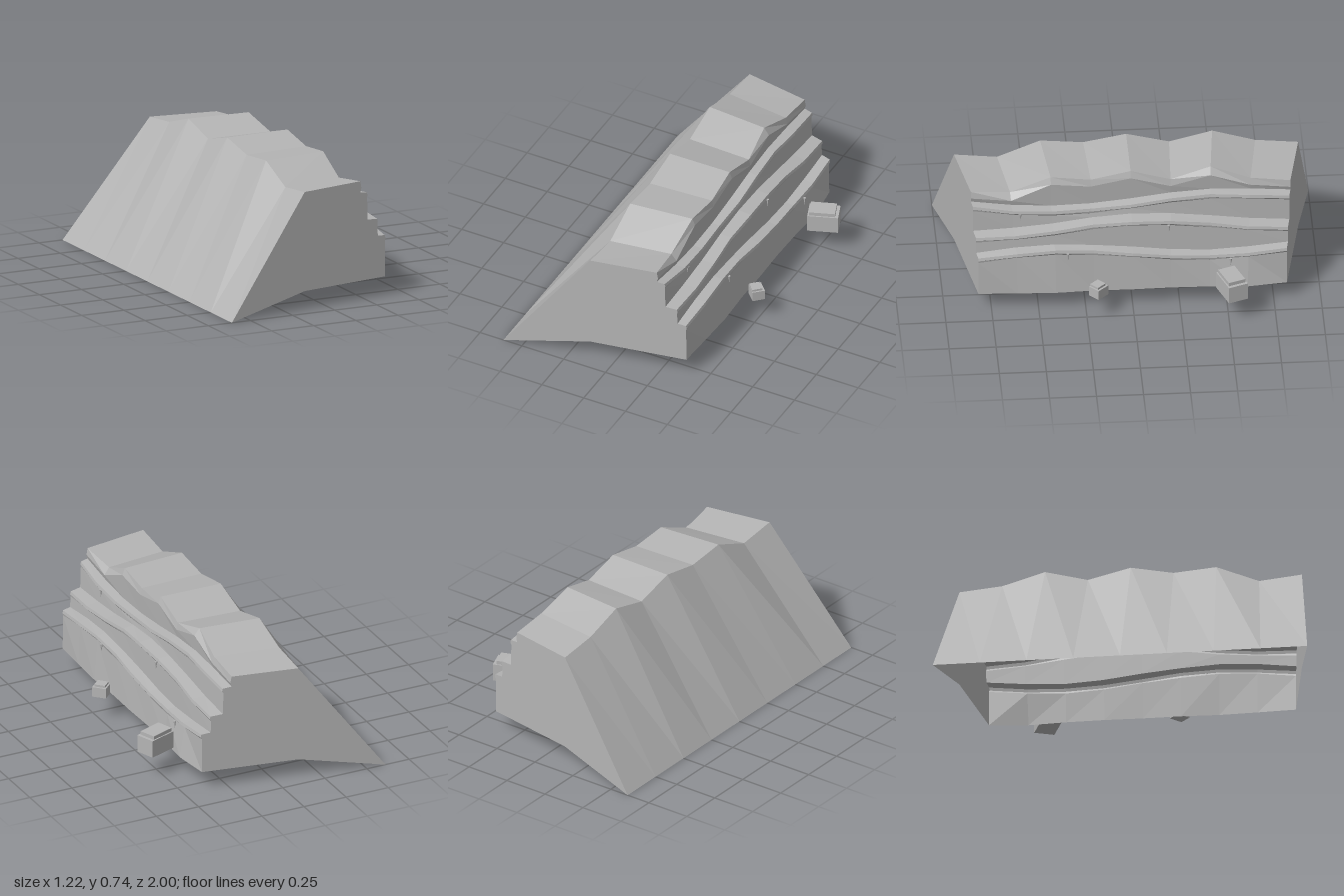
import * as THREE from 'three';

// Heights and depths at nine stations running from z = -1 to z = +1
const crest = [0.64, 0.663, 0.733, 0.674, 0.733, 0.69, 0.711, 0.617, 0.642];
const rimX = [0.228, 0.225, 0.206, 0.226, 0.222, 0.226, 0.22, 0.206, 0.228];
const baseX = [0.39, 0.415, 0.402, 0.398, 0.402, 0.4, 0.408, 0.4, 0.39];
const ledges = [
  { inner: 0.228, outer: 0.276, y: [0.578, 0.594, 0.602, 0.588, 0.56, 0.538, 0.532, 0.547, 0.578] },
  { inner: 0.276, outer: 0.343, y: [0.422, 0.438, 0.465, 0.488, 0.495, 0.48, 0.45, 0.432, 0.422] },
  { inner: 0.342, outer: 0.393, y: [0.322, 0.302, 0.29, 0.302, 0.328, 0.348, 0.36, 0.35, 0.325] },
];
const STATIONS = 9;

// Cross-section from the back foot, over the crest and down the stepped face
function section(i) {
  const wave = 0.006 * Math.sin(i * 2.1);
  const pts = [[-0.61, 0], [-0.135, crest[i]], [rimX[i], crest[i] + 0.003], [0.235, crest[i] - 0.035]];
  for (const { inner, outer, y } of ledges) {
    const lip = outer + wave;
    pts.push([inner, y[i] + 0.006], [lip, y[i]], [lip + 0.004, y[i] - 0.016], [outer - 0.004, y[i] - 0.028]);
  }
  pts.push([baseX[i], 0.1]);
  return pts;
}

// The hill narrows towards its steep face
const toPoint = ([x, y], i) => [x, y, (-1 + i / 4) * (1 - 0.18 * (x + 0.61))];

function buildSurface(positions, index, material, name) {
  const indexed = new THREE.BufferGeometry();
  indexed.setAttribute('position', new THREE.Float32BufferAttribute(positions, 3));
  indexed.setIndex(index);
  const geometry = indexed.toNonIndexed();
  geometry.computeVertexNormals();
  const mesh = new THREE.Mesh(geometry, material);
  mesh.name = name;
  return mesh;
}

// Back slope, top and ledged wall, open underneath
function buildShell(material) {
  const positions = [], index = [];
  const rows = section(0).length;
  for (let i = 0; i < STATIONS; i++) {
    for (const p of section(i)) positions.push(...toPoint(p, i));
  }
  for (let i = 0; i < STATIONS - 1; i++) {
    for (let r = 0; r < rows - 1; r++) {
      const a = i * rows + r, b = a + rows;
      index.push(a, b, a + 1, b, b + 1, a + 1);
    }
  }
  return buildSurface(positions, index, material, 'cliffShell');
}

// Flat end wall following the same cross-section
function buildEnd(i, material, name) {
  const outline = [...section(i), [-0.135, 0.1]];
  const contour = outline.map(([x, y]) => new THREE.Vector2(x, y));
  const faces = THREE.ShapeUtils.triangulateShape(contour, []);
  const index = [];
  for (const [a, b, c] of faces) {
    const area = contour[b].clone().sub(contour[a]).cross(contour[c].clone().sub(contour[a]));
    const facesFront = area > 0;
    if (facesFront === (i > 0)) index.push(a, b, c);
    else index.push(a, c, b);
  }
  return buildSurface(outline.flatMap((p) => toPoint(p, i)), index, material, name);
}

// Fallen block with a thin slab on top
function buildBoulder(x, z, turn, [w, h, d], [cw, ch, cd], material, name) {
  const group = new THREE.Group();
  group.name = name;
  const block = new THREE.Mesh(new THREE.BoxGeometry(w, h, d), material);
  block.name = 'block';
  block.position.y = h / 2;
  const slab = new THREE.Mesh(new THREE.BoxGeometry(cw, ch, cd), material);
  slab.name = 'slab';
  slab.position.set(-0.005, h + ch / 2, 0);
  group.add(block, slab);
  group.position.set(x, 0.128, z);
  group.rotation.y = turn;
  return group;
}

export function createModel() {
  const model = new THREE.Group();
  model.name = 'cliff';
  const stone = new THREE.MeshStandardMaterial({ color: 0xb4b4b4, flatShading: true, side: THREE.DoubleSide });
  stone.name = 'stone grey';

  model.add(buildShell(stone));
  model.add(buildEnd(0, stone, 'rightEnd'), buildEnd(STATIONS - 1, stone, 'leftEnd'));

  model.add(buildBoulder(0.514, -0.52, 0.36, [0.165, 0.097, 0.11], [0.14, 0.02, 0.095], stone, 'largeBoulder'));
  model.add(buildBoulder(0.481, 0.187, 0.765, [0.069, 0.056, 0.077], [0.056, 0.012, 0.06], stone, 'smallBoulder'));

  // Small hanging spikes on the wall
  const spikes = [[0.28, 0.505, 0.59], [0.348, 0.443, -0.195], [0.4, 0.318, 0.345], [0.4, 0.25, -0.52]];
  for (const [x, y, z] of spikes) {
    const spike = new THREE.Mesh(new THREE.ConeGeometry(0.008, 0.045, 5), stone);
    spike.name = 'hangingSpike';
    spike.position.set(x, y, z);
    spike.rotation.x = Math.PI;
    model.add(spike);
  }
  return model;
}
